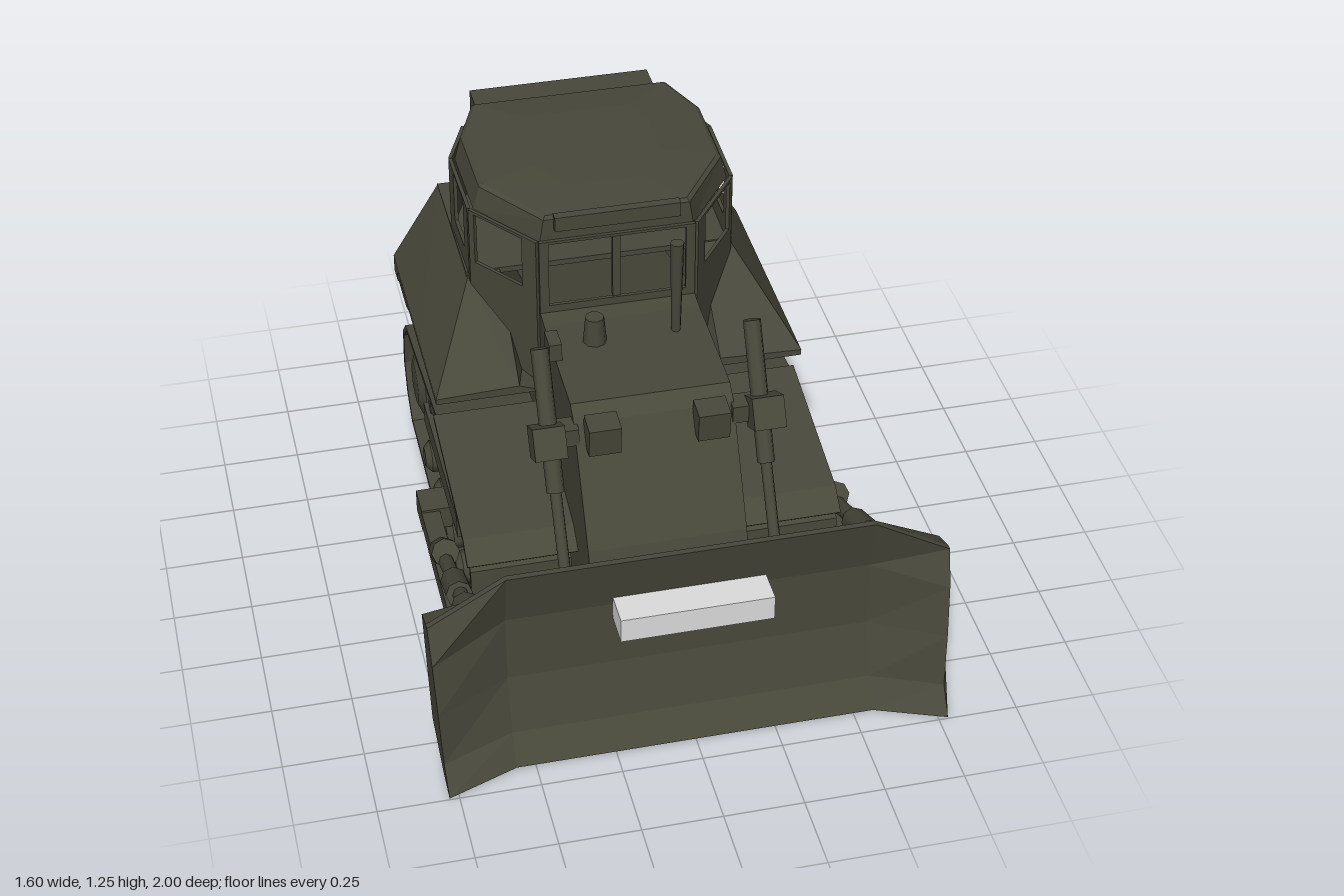
import * as THREE from 'three';

const olive = new THREE.MeshStandardMaterial({ color: 0x47473a });
olive.name = 'dark olive paint';
const pale = new THREE.MeshStandardMaterial({ color: 0xdcdcdc });
pale.name = 'pale plate';

export function createModel() {
  const model = new THREE.Group();
  model.name = 'bulldozer';

  const add = (name, geo, mat = olive) => {
    const m = new THREE.Mesh(geo, mat);
    m.name = name;
    model.add(m);
    return m;
  };
  const box = (name, x0, x1, y0, y1, z0, z1, mat) => {
    const m = add(name, new THREE.BoxGeometry(x1 - x0, y1 - y0, z1 - z0), mat);
    m.position.set((x0 + x1) / 2, (y0 + y1) / 2, (z0 + z1) / 2);
    return m;
  };
  // Side profile given as [z, y], extruded from x0 to x1
  const sideProfile = (name, pts, x0, x1, holePts) => {
    const shape = new THREE.Shape(pts.map(p => new THREE.Vector2(...p)));
    if (holePts) shape.holes.push(new THREE.Path(holePts.map(p => new THREE.Vector2(...p))));
    const g = new THREE.ExtrudeGeometry(shape, { depth: x1 - x0, bevelEnabled: false });
    return add(name, g.rotateY(-Math.PI / 2).translate(x1, 0, 0));
  };
  // Round bar between two points
  const rod = (name, a, b, r0, r1 = r0, sides = 8) => {
    const p = new THREE.Vector3(...a), q = new THREE.Vector3(...b);
    const d = q.clone().sub(p);
    const m = add(name, new THREE.CylinderGeometry(r1, r0, d.length(), sides));
    m.position.copy(p).add(q).multiplyScalar(0.5);
    m.quaternion.setFromUnitVectors(new THREE.Vector3(0, 1, 0), d.normalize());
    return m;
  };
  // Faceted solid through closed cross-sections, with capped ends
  const loft = (name, sections) => {
    const tris = [], n = sections[0].length;
    for (let s = 0; s < sections.length - 1; s++) {
      for (let i = 0; i < n; i++) {
        const j = (i + 1) % n, A = sections[s], B = sections[s + 1];
        tris.push([A[i], A[j], B[j]], [A[i], B[j], B[i]]);
      }
    }
    [[sections[0], true], [sections[sections.length - 1], false]].forEach(([sec, flip]) => {
      const c = [0, 1, 2].map(k => sec.reduce((t, p) => t + p[k], 0) / n);
      sec.forEach((p, i) => {
        const q = sec[(i + 1) % n];
        tris.push(flip ? [c, q, p] : [c, p, q]);
      });
    });
    const vol = tris.reduce((t, [a, b, c]) => t + new THREE.Vector3(...a).dot(
      new THREE.Vector3(...b).cross(new THREE.Vector3(...c))), 0);
    if (vol < 0) tris.forEach(t => t.reverse());
    const g = new THREE.BufferGeometry();
    g.setAttribute('position', new THREE.Float32BufferAttribute(tris.flat(2), 3));
    g.computeVertexNormals();
    return add(name, g);
  };

  // Blade: curved face, clipped top corners and forward swept ends
  const mid = [[0.92, 0.01], [0.86, 0.1], [0.81, 0.28], [0.8, 0.5], [0.84, 0.69], [0.82, 0.69], [0.73, 0.55], [0.73, 0.12], [0.85, 0.03]];
  const end = [[0.995, 0.002], [0.93, 0.08], [0.91, 0.26], [0.88, 0.43], [0.84, 0.55], [0.82, 0.55], [0.74, 0.52], [0.74, 0.1], [0.9, 0.02]];
  const bladeSection = (pts, x, lean = 0) => pts.map(([z, y]) => [x + lean * y, y, z]);
  loft('blade', [bladeSection(end, -0.78, -0.035), bladeSection(mid, -0.56), bladeSection(mid, 0.56), bladeSection(end, 0.78, 0.035)]);
  box('bladePlate', -0.235, 0.235, 0.447, 0.53, 0.8, 0.912, pale);

  // Hull, hood and rear casing
  sideProfile('hull', [[0.29, 0.87], [0.34, 0.83], [0.53, 0.48], [0.61, 0.25], [0.5, 0.21], [0.34, 0.1],
    [-0.6, 0.08], [-0.85, 0.1], [-0.85, 0.7], [-0.2, 0.9], [-0.1, 0.885]], -0.25, 0.25);
  box('rearCasing', -0.3, 0.3, 0.09, 0.62, -0.92, -0.45);
  box('rearBeam', -0.6, 0.6, 0.58, 0.63, -0.95, -0.88);
  box('rearPanel', -0.34, 0.34, 0.62, 0.89, -0.9, -0.86);
  box('rearDeck', -0.44, 0.44, 0.885, 0.905, -0.95, -0.42);

  // Cab walls with window openings
  const cab = [[-0.25, -0.17], [0.25, -0.17], [0.42, -0.4], [0.425, -0.7], [0.35, -0.88],
    [-0.35, -0.88], [-0.425, -0.7], [-0.42, -0.4]];
  const windows = { 0: [0.06, 0.94, 0.92], 1: [0.21, 0.92, 0.97], 7: [0.08, 0.79, 0.97], 2: [0.22, 0.75, 0.97], 6: [0.25, 0.78, 0.97] };
  cab.forEach((a, i) => {
    const b = cab[(i + 1) % cab.length];
    const dx = b[0] - a[0], dz = b[1] - a[1], len = Math.hypot(dx, dz);
    const s = new THREE.Shape([[0, 0.62], [len, 0.62], [len, 1.16], [0, 1.16]].map(p => new THREE.Vector2(...p)));
    if (windows[i]) {
      const [u0, u1, y0] = windows[i];
      s.holes.push(new THREE.Path([[u0, y0], [u0, 1.15], [u1, 1.15], [u1, y0]]
        .map(([u, y]) => new THREE.Vector2(u * len, y))));
    }
    const m = add('cabWall', new THREE.ExtrudeGeometry(s, { depth: 0.012, bevelEnabled: false }));
    m.position.set(a[0], 0, a[1]);
    m.rotation.y = -Math.atan2(dz, dx);
  });
  // Roof: tapering rim and shallow crown
  const roofRing = (kx, kz, y) => cab.map(([x, z]) => [x * kx, y, (z + 0.53) * kz - 0.53]);
  loft('cabRoof', [roofRing(0.98, 1, 1.155), roofRing(0.93, 1, 1.235), roofRing(0.9, 0.97, 1.245), roofRing(0.5, 0.6, 1.257)]);
  box('roofVisor', -0.2, 0.2, 1.2, 1.25, -0.18, -0.15);
  box('rearRoofBox', -0.31, 0.29, 1.11, 1.22, -1, -0.86);
  box('windscreenBar', -0.015, 0.01, 0.92, 1.15, -0.18, -0.165);

  // Hood fittings
  rod('exhaustPipe', [0.15, 0.87, 0], [0.15, 1.21, 0.005], 0.015, 0.022);
  rod('airCleaner', [-0.11, 0.86, 0], [-0.11, 0.97, 0], 0.04, 0.03);
  box('hoodMirror', -0.27, -0.23, 0.88, 0.94, 0.0, 0.08);

  // Track loop in side profile, with a slightly smaller loop inside it
  const loop = [[0.37, 0.33], [0.3, 0.41], [-0.2, 0.51], [-0.83, 0.43], [-0.9, 0.36], [-0.92, 0.22], [-0.88, 0.11],
    [-0.8, 0.04], [-0.4, 0.012], [0.1, 0.025], [0.33, 0.055], [0.38, 0.15]];
  const inner = loop.map(([z, y]) => [(z + 0.27) * 0.97 - 0.27, (y - 0.25) * 0.93 + 0.25]);

  for (const s of [-1, 1]) {
    const span = (a, b) => [Math.min(s * a, s * b), Math.max(s * a, s * b)];
    sideProfile('trackBelt', loop, ...span(0.27, 0.59), inner);
    sideProfile('trackInnerPlate', inner, ...span(0.27, 0.29));
    sideProfile('trackFrame', [[0.25, 0.15], [0.25, 0.24], [0.1, 0.33], [-0.55, 0.33], [-0.7, 0.25], [-0.6, 0.13]], ...span(0.28, 0.5));
    box('trackGuard', ...span(0.5, 0.585), 0.25, 0.33, -0.52, 0.1);
    const wheel = (name, z, y, r, x1, sides) => {
      rod(name, [s * 0.3, y, z], [s * x1, y, z], r, r, sides);
      rod(name + 'Hub', [s * x1, y, z], [s * (x1 + 0.02), y, z], r, r * 0.6, sides);
    };
    wheel('driveSprocket', -0.74, 0.25, 0.12, 0.56, 10);
    wheel('idlerWheel', 0.22, 0.23, 0.13, 0.53, 10);
    for (const z of [0.06, -0.12, -0.32, -0.53]) wheel('trackRoller', z, 0.09, 0.055, 0.57, 8);
    wheel('carrierRoller', -0.34, 0.45, 0.042, 0.57, 8);
    sideProfile('trackCover', [[0.38, 0.36], [0.31, 0.415], [-0.2, 0.52], [-0.2, 0.505], [0.3, 0.4], [0.37, 0.35]], ...span(0.25, 0.6));
    rod('sideTank', [s * 0.55, 0.57, -0.74], [s * 0.55, 0.57, -0.95], 0.045);

    // Flared side of the body, running down and forward from the cab
    const flare = (z, top, topX) => [[topX, top, z], [0.6, 0.64, z], [0.6, 0.62, z], [0.25, 0.62, z], [Math.min(topX, 0.33), top, z]]
      .map(([x, y, w]) => [s * x, y, w]);
    loft('flaredSide', [flare(-0.95, 0.9, 0.44), flare(-0.42, 0.9, 0.43), flare(-0.12, 0.65, 0.34)]);

    // Headlamp on the sloping nose
    const lamp = box('headlamp', ...span(0.12, 0.22), 0.76, 0.86, 0.34, 0.42);
    lamp.rotation.x = 0.1;

    // Lift cylinder beside the hood
    rod('liftCylinder', [s * 0.33, 1.05, 0.23], [s * 0.33, 0.66, 0.44], 0.028);
    rod('liftRod', [s * 0.33, 0.66, 0.44], [s * 0.33, 0.22, 0.7], 0.018);
    const clamp = box('liftClamp', ...span(0.29, 0.39), 0.76, 0.86, 0.33, 0.43);
    clamp.rotation.x = -0.5;
    box('liftBracket', ...span(0.24, 0.34), 0.77, 0.83, 0.3, 0.37);
    box('liftFoot', ...span(0.28, 0.38), 0.16, 0.28, 0.64, 0.74);

    // Push arm, tilt strut and joints
    sideProfile('pushArm', [[0.66, 0.13], [0.66, 0.19], [0.1, 0.215], [-0.19, 0.21], [-0.19, 0.16], [0.1, 0.14]], ...span(0.61, 0.67));
    box('armPivot', ...span(0.57, 0.67), 0.14, 0.22, -0.2, -0.09);
    rod('armJoint', [s * 0.58, 0.16, 0.65], [s * 0.71, 0.16, 0.65], 0.06);
    box('bladeHinge', ...span(0.6, 0.69), 0.18, 0.3, 0.68, 0.74);
    rod('tiltStrut', [s * 0.65, 0.47, 0.74], [s * 0.64, 0.22, 0.13], 0.025);
    rod('tiltSleeve', [s * 0.65, 0.38, 0.52], [s * 0.645, 0.32, 0.38], 0.042);
    rod('tiltKnuckle', [s * 0.65, 0.47, 0.73], [s * 0.65, 0.43, 0.63], 0.045);
    rod('tiltFoot', [s * 0.64, 0.28, 0.2], [s * 0.64, 0.23, 0.13], 0.045);
    rod('crossBar', [s * 0.15, 0.19, 0.65], [s * 0.6, 0.17, 0.65], 0.016);
  }
  return model;
}
